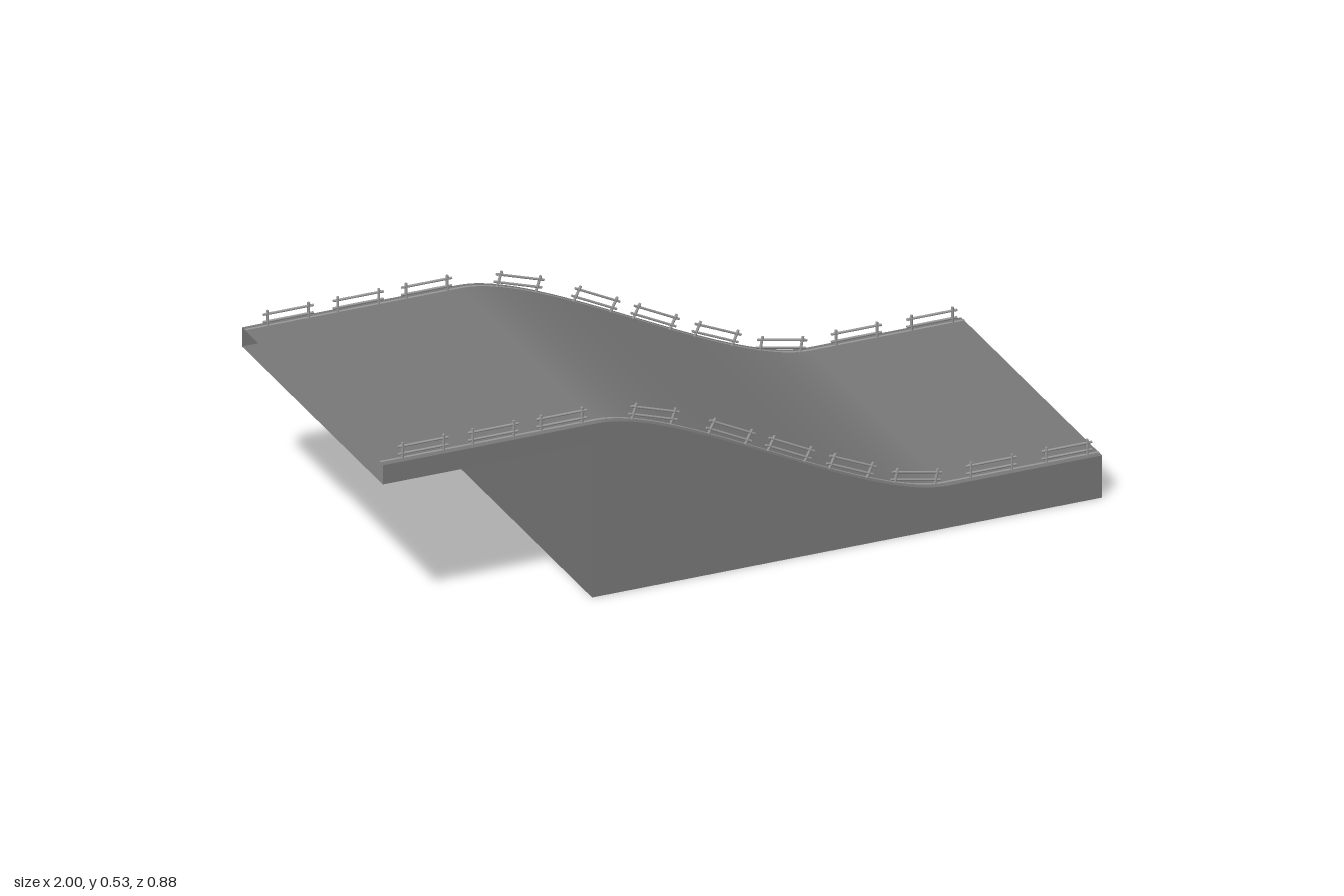
import * as THREE from 'three';

const HALF_W = 0.438, HIGH = 0.489, LOW = 0.119, WALL_X = -0.418, PLATE_Y = 0.435;
const roadMaterial = new THREE.MeshStandardMaterial({ color: 0x787878, side: THREE.DoubleSide });
const railMaterial = new THREE.MeshStandardMaterial({ color: 0x999999, side: THREE.DoubleSide });

function part(name, geometry, material, parent) {
  const mesh = new THREE.Mesh(geometry, material);
  mesh.name = name;
  parent.add(mesh);
  return mesh;
}

// Height line of the road: flat, S-shaped slope, flat
function roadLine() {
  const slope = new THREE.CubicBezierCurve(
    new THREE.Vector2(-0.4, HIGH), new THREE.Vector2(-0.17, HIGH),
    new THREE.Vector2(0.34, LOW), new THREE.Vector2(0.57, LOW));
  return [new THREE.Vector2(-1, HIGH), ...slope.getPoints(32), new THREE.Vector2(1, LOW)];
}

function heightAt(line, x) {
  const i = Math.max(1, line.findIndex(p => p.x >= x));
  const a = line[i - 1], b = line[i];
  return a.y + (b.y - a.y) * (x - a.x) / (b.x - a.x);
}

// Sheet of a given width that follows the height line
function roadSheet(line, width) {
  const sheet = new THREE.PlaneGeometry(2, width, line.length - 1, 1).rotateX(-Math.PI / 2);
  const pos = sheet.attributes.position;
  for (let i = 0; i < pos.count; i++) {
    const p = line[i % line.length];
    pos.setX(i, p.x);
    pos.setY(i, p.y);
  }
  sheet.computeVertexNormals();
  return sheet;
}

function rod(radius, length) {
  return new THREE.CylinderGeometry(radius, radius, length, 12);
}

// Short guard rail: two bars on two posts, with small braces at the ends
function makeGuardRail() {
  const rail = new THREE.Group();
  rail.name = 'guardRail';
  for (const y of [0.013, 0.034]) {
    const bar = part('railBar', rod(0.0032, 0.14).rotateZ(Math.PI / 2), railMaterial, rail);
    bar.position.y = y;
  }
  for (const s of [-1, 1]) {
    const post = part('railPost', rod(0.0036, 0.044), railMaterial, rail);
    post.position.set(s * 0.057, 0.022, 0);
    const brace = part('railBrace', rod(0.002, 0.014).rotateZ(Math.PI / 2), railMaterial, rail);
    brace.position.set(s * 0.062, 0.036, 0);
    brace.rotation.z = -s * 0.7;
  }
  return rail;
}

export function createModel() {
  const model = new THREE.Group();
  model.name = 'ramp';
  const line = roadLine();

  // Road deck
  part('roadDeck', roadSheet(line, 2 * HALF_W), roadMaterial, model);

  // Side panels, with a narrow fascia beside the overhang, and strips under the rails
  const outline = new THREE.Shape([
    ...line,
    new THREE.Vector2(1, 0), new THREE.Vector2(WALL_X, 0),
    new THREE.Vector2(WALL_X, PLATE_Y), new THREE.Vector2(-1, PLATE_Y)]);
  for (const s of [-1, 1]) {
    const panel = part('sidePanel', new THREE.ShapeGeometry(outline), roadMaterial, model);
    panel.position.z = s * HALF_W;
    const strip = part('edgeStrip', roadSheet(line, 0.008), railMaterial, model);
    strip.position.set(0, 0.002, s * 0.419);
  }

  // Cross wall below the crest
  const wall = part('crossWall', new THREE.PlaneGeometry(2 * HALF_W, HIGH).rotateY(-Math.PI / 2), roadMaterial, model);
  wall.position.set(WALL_X, HIGH / 2, 0);

  // Bottom plate of the overhang, open at its outer end
  const plate = part('overhangPlate',
    new THREE.PlaneGeometry(1 + WALL_X, 2 * HALF_W).rotateX(Math.PI / 2), roadMaterial, model);
  plate.position.set((WALL_X - 1) / 2, PLATE_Y, 0);

  // Guard rails along both edges: [x, slope]
  const rails = [[-0.88, 0], [-0.685, 0], [-0.495, 0], [-0.245, -0.32], [-0.035, -0.5],
    [0.13, -0.5], [0.302, -0.44], [0.487, -0.2], [0.7, 0], [0.91, 0]];
  for (const [x, slope] of rails) {
    for (const s of [-1, 1]) {
      const rail = makeGuardRail();
      rail.position.set(x, heightAt(line, x), s * 0.419);
      rail.rotation.z = Math.atan(slope);
      model.add(rail);
    }
  }
  return model;
}
